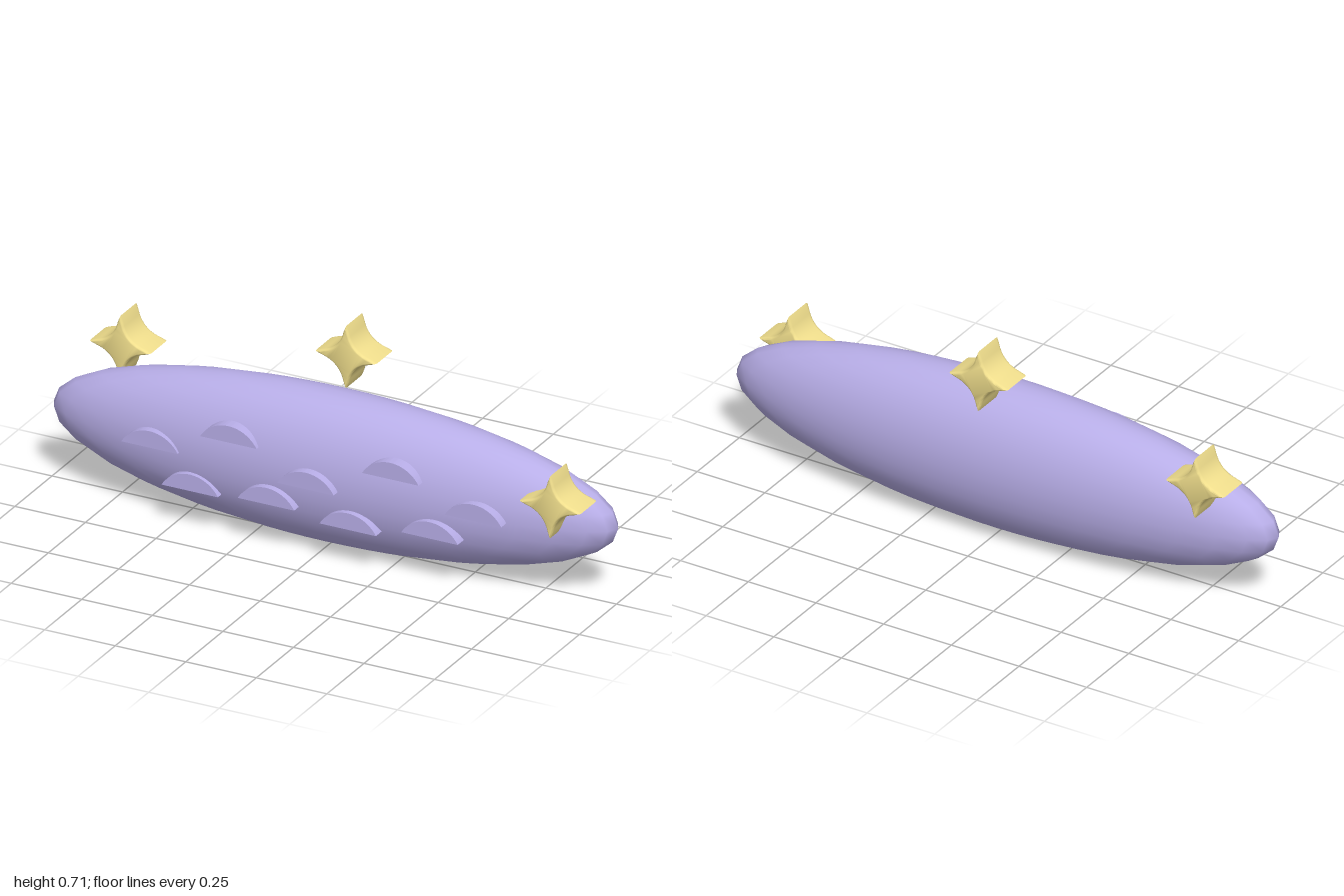
import * as THREE from 'three';
import { toCreasedNormals } from 'three/addons/utils/BufferGeometryUtils.js';

const lilac = new THREE.MeshStandardMaterial({ color: 0xb8aee8 });
const gold = new THREE.MeshStandardMaterial({ color: 0xf0de8c });

// Four-pointed star with concave sides, extruded with a soft bevel, centred on its origin
function starGeometry() {
  const r = 0.098, c = 0.012;
  const shape = new THREE.Shape();
  shape.moveTo(r, 0);
  shape.quadraticCurveTo(c, c, 0, r);
  shape.quadraticCurveTo(-c, c, -r, 0);
  shape.quadraticCurveTo(-c, -c, 0, -r);
  shape.quadraticCurveTo(c, -c, r, 0);
  const geo = new THREE.ExtrudeGeometry(shape, {
    depth: 0.096, bevelThickness: 0.012, bevelSize: 0.007, bevelSegments: 3, curveSegments: 12,
  });
  geo.translate(0, 0, -0.048);
  return toCreasedNormals(geo, 0.7);
}

// Half-moon scale: a circular segment, its front face at z = 0
function scaleGeometry() {
  const half = 0.1, height = 0.057;
  const radius = (half * half + height * height) / (2 * height);
  const angle = Math.asin((radius - height) / radius);
  const shape = new THREE.Shape();
  shape.absarc(0, height - radius, radius, angle, Math.PI - angle, false);
  shape.closePath();
  const geo = new THREE.ExtrudeGeometry(shape, { depth: 0.06, bevelEnabled: false, curveSegments: 20 });
  geo.translate(0, 0, -0.06);
  return toCreasedNormals(geo, 0.6);
}

export function createModel() {
  const model = new THREE.Group();
  model.name = 'starryEllipsoid';

  function add(name, geometry, material, x, y, z) {
    const mesh = new THREE.Mesh(geometry, material);
    mesh.name = name;
    mesh.position.set(x, y, z);
    model.add(mesh);
    return mesh;
  }

  // Long flattened body
  add('body', new THREE.SphereGeometry(1, 32, 16), lilac, 0, 0.258, -0.012).scale.set(1, 0.257, 0.181);

  // Scales on the front: x, base y, front z
  const scale = scaleGeometry();
  [
    [-0.287, 0.347, 0.168], [0.287, 0.347, 0.168],
    [-0.573, 0.26, 0.155], [0, 0.26, 0.194], [0.573, 0.26, 0.155],
    [-0.427, 0.145, 0.162], [-0.143, 0.173, 0.188],
    [0.143, 0.145, 0.181], [0.427, 0.173, 0.17],
  ].forEach((p, i) => add('scale' + (i + 1), scale, lilac, ...p));

  // Stars along the upper edge
  const star = starGeometry();
  add('rightStar', star, gold, -0.8, 0.46, -0.133);
  add('topStar', star, gold, 0, 0.603, -0.133);
  add('leftStar', star, gold, 0.84, 0.362, 0.089);

  return model;
}
